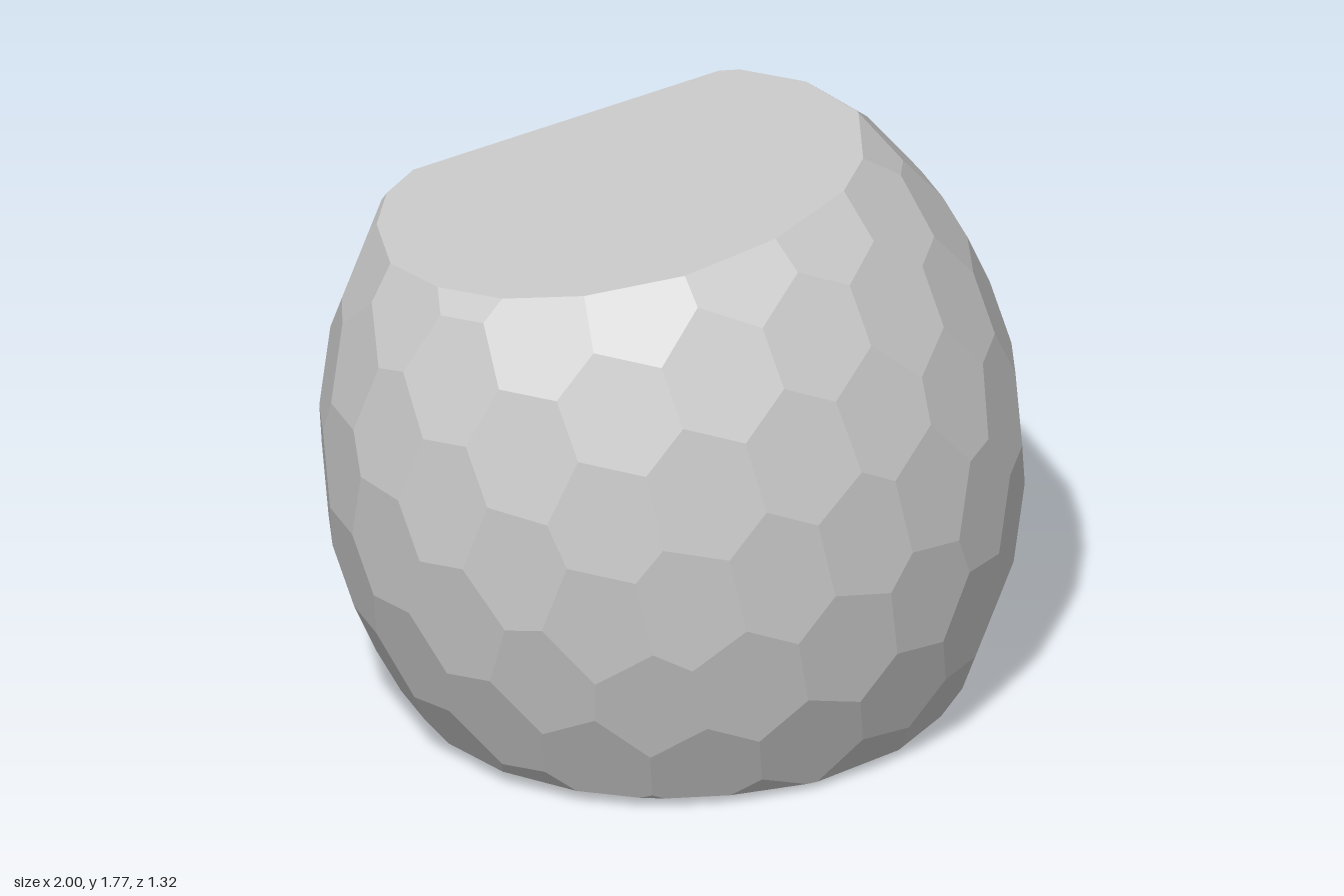
import * as THREE from 'three';

const V = (x, y, z) => new THREE.Vector3(x, y, z);

// Evenly spread unit directions: an icosahedron with every edge halved twice
function geodesicDirections() {
  const p = new THREE.IcosahedronGeometry(1, 0).getAttribute('position');
  const found = new Map();
  const mid = (a, b) => a.clone().add(b).normalize();
  const split = (a, b, c, level) => {
    if (level === 0) {
      for (const v of [a, b, c]) {
        found.set([v.x, v.y, v.z].map((n) => Math.round(n * 1000)).join(), v);
      }
      return;
    }
    const ab = mid(a, b), bc = mid(b, c), ca = mid(c, a);
    split(a, ab, ca, level - 1);
    split(ab, b, bc, level - 1);
    split(ca, bc, c, level - 1);
    split(ab, bc, ca, level - 1);
  };
  // x and y swapped so that an edge runs upright on each side
  const at = (i) => V(p.getY(i), p.getX(i), p.getZ(i)).normalize();
  for (let i = 0; i < p.count; i += 3) split(at(i), at(i + 1), at(i + 2), 2);
  return [...found.values()];
}

// Keep the part of a convex polygon behind a plane
function clip(poly, plane) {
  const out = [];
  poly.forEach((a, i) => {
    const b = poly[(i + 1) % poly.length];
    const da = plane.distanceToPoint(a), db = plane.distanceToPoint(b);
    if (da <= 0) out.push(a);
    if ((da < 0 && db > 0) || (da > 0 && db < 0)) out.push(a.clone().lerp(b, da / (da - db)));
  });
  return out;
}

// The face of the convex solid that lies on one of its planes
function faceOn(plane, planes) {
  const n = plane.normal;
  const u = (Math.abs(n.y) < 0.9 ? V(0, 1, 0) : V(1, 0, 0)).cross(n).normalize();
  const v = n.clone().cross(u);
  const o = n.clone().multiplyScalar(-plane.constant);
  let poly = [[-1, -1], [1, -1], [1, 1], [-1, 1]].map(([a, b]) =>
    o.clone().addScaledVector(u, a * 4).addScaledVector(v, b * 4));
  for (const other of planes) {
    if (other !== plane && poly.length) poly = clip(poly, other);
  }
  return poly;
}

function facesMesh(name, planes, all) {
  const pos = [];
  for (const plane of planes) {
    const f = faceOn(plane, all);
    for (let i = 1; i + 1 < f.length; i++) {
      for (const p of [f[0], f[i], f[i + 1]]) pos.push(p.x, p.y, p.z);
    }
  }
  const geo = new THREE.BufferGeometry();
  geo.setAttribute('position', new THREE.Float32BufferAttribute(pos, 3));
  geo.computeVertexNormals();
  const mesh = new THREE.Mesh(geo, new THREE.MeshStandardMaterial({ color: 0xcccccc, flatShading: true }));
  mesh.name = name;
  return mesh;
}

export function createModel() {
  const group = new THREE.Group();
  group.name = 'facetedStone';

  // Tangent planes of a leaning ellipsoid give the pentagon and hexagon facets
  const centre = V(0, 0.81, -0.19);
  const radii = V(0.987, 1.213, 0.85);
  const lean = THREE.MathUtils.degToRad(12.4);
  const turn = (v) => v.applyAxisAngle(V(0, 0, 1), lean);
  const facets = geodesicDirections().map((d) => new THREE.Plane().setFromNormalAndCoplanarPoint(
    turn(d.clone().divide(radii)).normalize(),
    turn(d.clone().multiply(radii)).add(centre)));

  // Flat cuts
  const cut = (normal, point) => new THREE.Plane().setFromNormalAndCoplanarPoint(normal.normalize(), point);
  const cuts = {
    topCut: cut(V(-0.144, 1, -0.055), V(0, 1.692, 0)),
    bottomCut: cut(V(-0.0336, -1, 0), V(0, 0.026, 0)),
    backCut: cut(V(0, 0, -1), V(0, 0, -0.66)),
  };

  const all = [...facets, ...Object.values(cuts)];
  group.add(facesMesh('facetedBody', facets, all));
  for (const [name, plane] of Object.entries(cuts)) group.add(facesMesh(name, [plane], all));
  return group;
}
